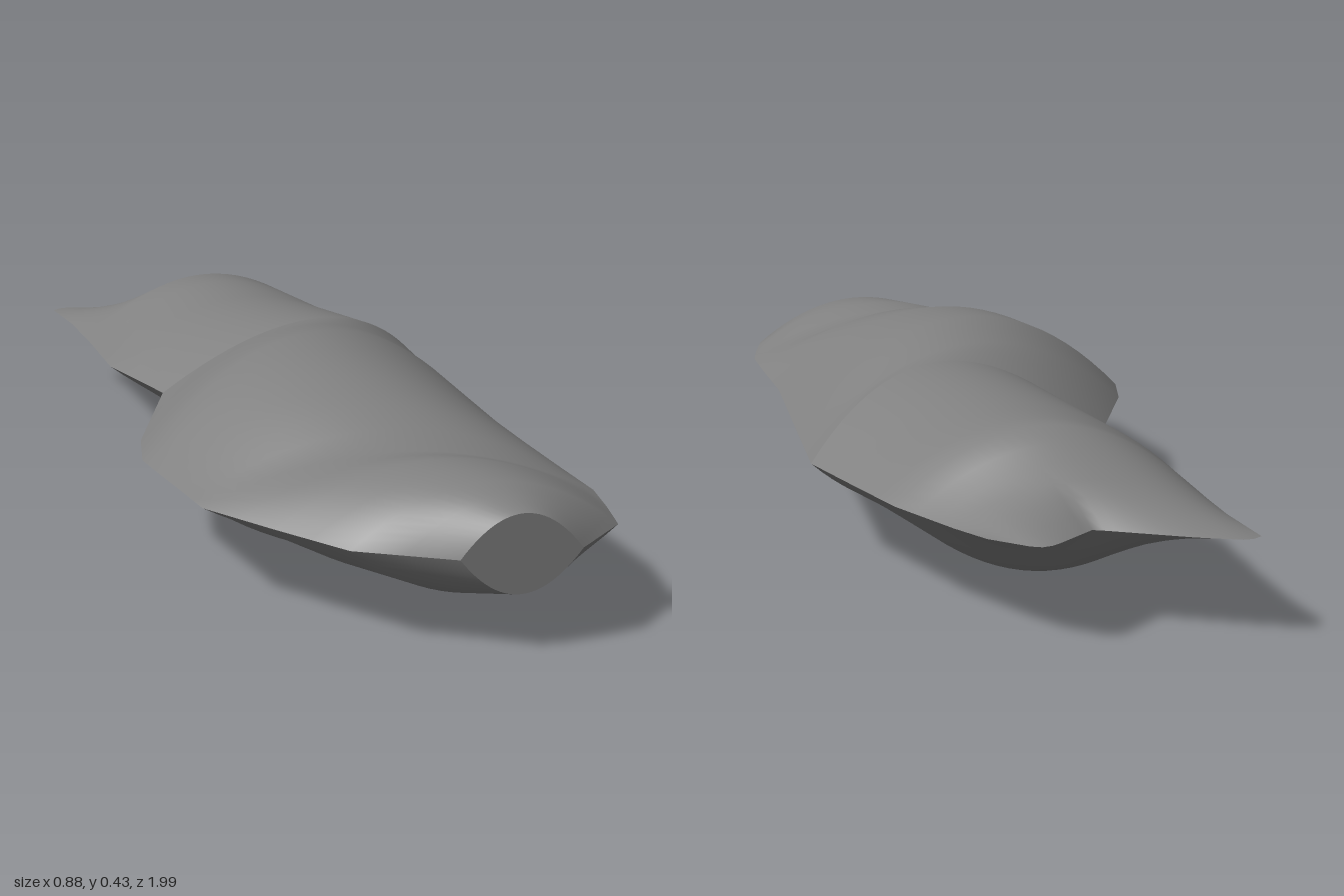
import * as THREE from 'three';

const MID = 0.216; // height of the sharp rim
const N = 24; // divisions across each section

// Sections from front to back: left rim x, z, right rim x, z, half height, forward bow
const BODY = [
  [-0.08, 0.955, 0.165, 0.995, 0.083, 0],
  [-0.25, 0.83, 0.29, 0.92, 0.115, 0],
  [-0.34, 0.67, 0.32, 0.83, 0.124, 0],
  [-0.425, 0.51, 0.345, 0.74, 0.102, 0],
  [-0.43, 0.4, 0.352, 0.6, 0.158, 0],
  [-0.437, 0.28, 0.358, 0.4, 0.193, 0],
  [-0.44, 0.2, 0.4, 0.05, 0.213, 0],
  [-0.4, 0.08, 0.42, -0.12, 0.182, 0],
  [-0.24, -0.21, 0.435, -0.245, 0.168, 0.12],
];
const TAIL = [
  BODY[BODY.length - 1],
  [-0.285, -0.455, 0.4, -0.39, 0.145, 0],
  [-0.265, -0.68, 0.35, -0.59, 0.153, 0],
  [-0.256, -0.84, 0.28, -0.76, 0.075, 0.03],
];
// Forked back rim, x and z
const FORK = [[-0.26, -0.985], [-0.23, -1], [-0.14, -0.955], [0.03, -0.85], [0.13, -0.915], [0.165, -0.92], [0.24, -0.84]];

// Lens-shaped half section; side is 1 for the top, -1 for the underside
function section([lx, lz, rx, rz, h, bow], side) {
  return Array.from({ length: N + 1 }, (_, i) => {
    const u = i / N;
    const arc = 1 - (2 * u - 1) ** 2;
    return [lx + (rx - lx) * u, MID + side * h * arc, lz + (rz - lz) * u + bow * arc];
  });
}

function forkEdge() {
  return Array.from({ length: N + 1 }, (_, i) => {
    const x = -0.26 + 0.5 * i / N;
    let k = 0;
    while (k < FORK.length - 2 && x > FORK[k + 1][0]) k++;
    const [a, b] = [FORK[k], FORK[k + 1]];
    return [x, MID, a[1] + (b[1] - a[1]) * (x - a[0]) / (b[0] - a[0])];
  });
}

// Insert in-between rows so the surface shades evenly
function refine(rows, steps) {
  const out = [rows[0]];
  for (let r = 1; r < rows.length; r++)
    for (let s = 1; s <= steps; s++)
      out.push(rows[r].map((p, i) => p.map((v, c) => rows[r - 1][i][c] + (v - rows[r - 1][i][c]) * s / steps)));
  return out;
}

// Smooth skin over rows of points
function skin(rows, flip) {
  const w = N + 1;
  const index = [];
  for (let r = 0; r < rows.length - 1; r++)
    for (let i = 0; i < N; i++) {
      const a = r * w + i, b = a + w;
      if (flip) index.push(a, b, a + 1, a + 1, b, b + 1);
      else index.push(a, a + 1, b, a + 1, b + 1, b);
    }
  const g = new THREE.BufferGeometry();
  g.setAttribute('position', new THREE.Float32BufferAttribute(rows.flat(2), 3));
  g.setIndex(index);
  g.computeVertexNormals();
  return g;
}

export function createModel() {
  const group = new THREE.Group();
  const grey = new THREE.MeshStandardMaterial({ color: 0x808080 });
  grey.name = 'stone grey';
  const add = (name, geometry) => {
    const mesh = new THREE.Mesh(geometry, grey);
    mesh.name = name;
    group.add(mesh);
  };

  // Upper and lower shells meet in a sharp rim
  for (const [word, side] of [['upper', 1], ['lower', -1]]) {
    const body = BODY.map((s) => section(s, side));
    const tail = [...TAIL.map((s) => section(s, side)), forkEdge()];
    add(word + 'Body', skin(refine(body, 2), side < 0));
    add(word + 'Tail', skin(refine(tail, 3), side < 0));
  }

  // Flat lens-shaped face at the front
  add('frontCap', skin([section(BODY[0], -1), section(BODY[0], 1)], false));
  return group;
}
